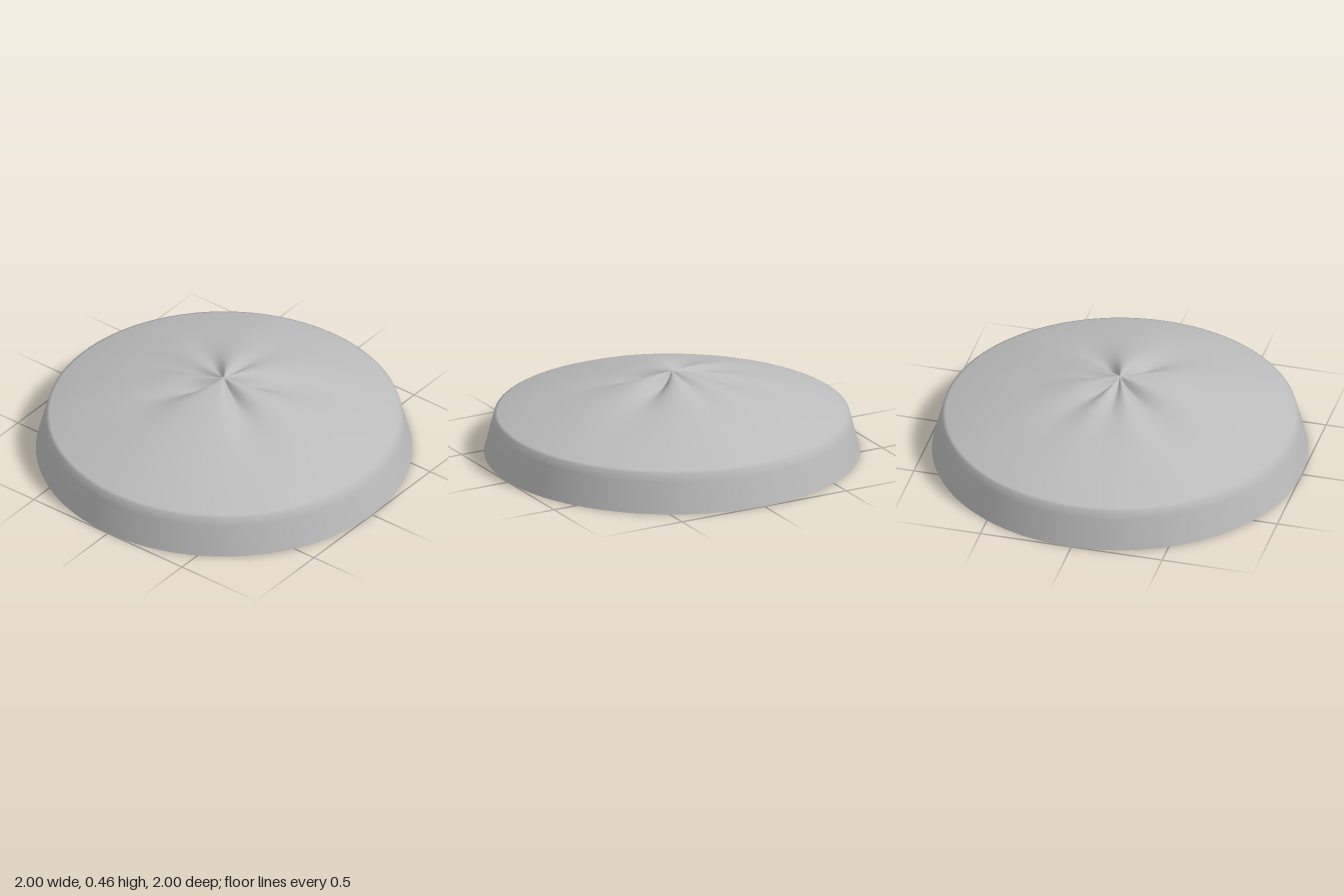
import * as THREE from 'three';
import { mergeVertices } from 'three/addons/utils/BufferGeometryUtils.js';

const RIM = 0.945;

// Creases radiating from the gathered centre: [angle in degrees from +x towards +z, width, depth]
const CREASES = [
  [30, 0.26, 0.048],
  [130, 0.28, 0.055],
  [176, 0.22, 0.03],
  [215, 0.24, 0.04],
  [268, 0.2, 0.02],
  [324, 0.26, 0.05],
];

// Depth of the folds at each point of the cover
function creaseDrop(x, z) {
  const r = Math.hypot(x, z);
  if (r >= RIM || r < 1e-4) return 0;
  const angle = Math.atan2(z, x);
  const t = r / 0.13;
  const fade = t * Math.exp(1 - t) * 0.75 + 0.4 * Math.min(1, r / 0.15) * (1 - r / RIM);
  let drop = 0;
  for (const [deg, width, depth] of CREASES) {
    const d = angle - THREE.MathUtils.degToRad(deg);
    const off = Math.atan2(Math.sin(d), Math.cos(d)) / (width * (1 + 0.4 * r));
    drop += depth * fade * Math.exp(-off * off);
  }
  return drop;
}

// Open shell: sloped side wall running smoothly into the gathered dome
function coverGeometry() {
  const dome = new THREE.SplineCurve([
    [RIM, 0.212], [0.8, 0.268], [0.6, 0.336], [0.4, 0.393],
    [0.25, 0.43], [0.12, 0.449], [0, 0.456],
  ].map(([r, y]) => new THREE.Vector2(r, y)));
  const profile = [[1, 0], [0.986, 0.055], [0.972, 0.11], [0.958, 0.165]]
    .map(([r, y]) => new THREE.Vector2(r, y));
  profile.push(...dome.getSpacedPoints(50));
  profile[profile.length - 1].x = 0;

  const lathe = new THREE.LatheGeometry(profile, 144);
  lathe.deleteAttribute('uv');
  lathe.deleteAttribute('normal');
  const geometry = mergeVertices(lathe, 1e-5);
  const pos = geometry.attributes.position;
  for (let i = 0; i < pos.count; i++) {
    pos.setY(i, pos.getY(i) - creaseDrop(pos.getX(i), pos.getZ(i)));
  }
  geometry.computeVertexNormals();
  return geometry;
}

export function createModel() {
  const fabric = new THREE.MeshStandardMaterial({ color: 0xbcbcbc, side: THREE.DoubleSide });
  fabric.name = 'grey fabric';
  const cover = new THREE.Mesh(coverGeometry(), fabric);
  cover.name = 'gatheredCover';
  const group = new THREE.Group();
  group.name = 'gatheredCushionCover';
  group.add(cover);
  return group;
}
